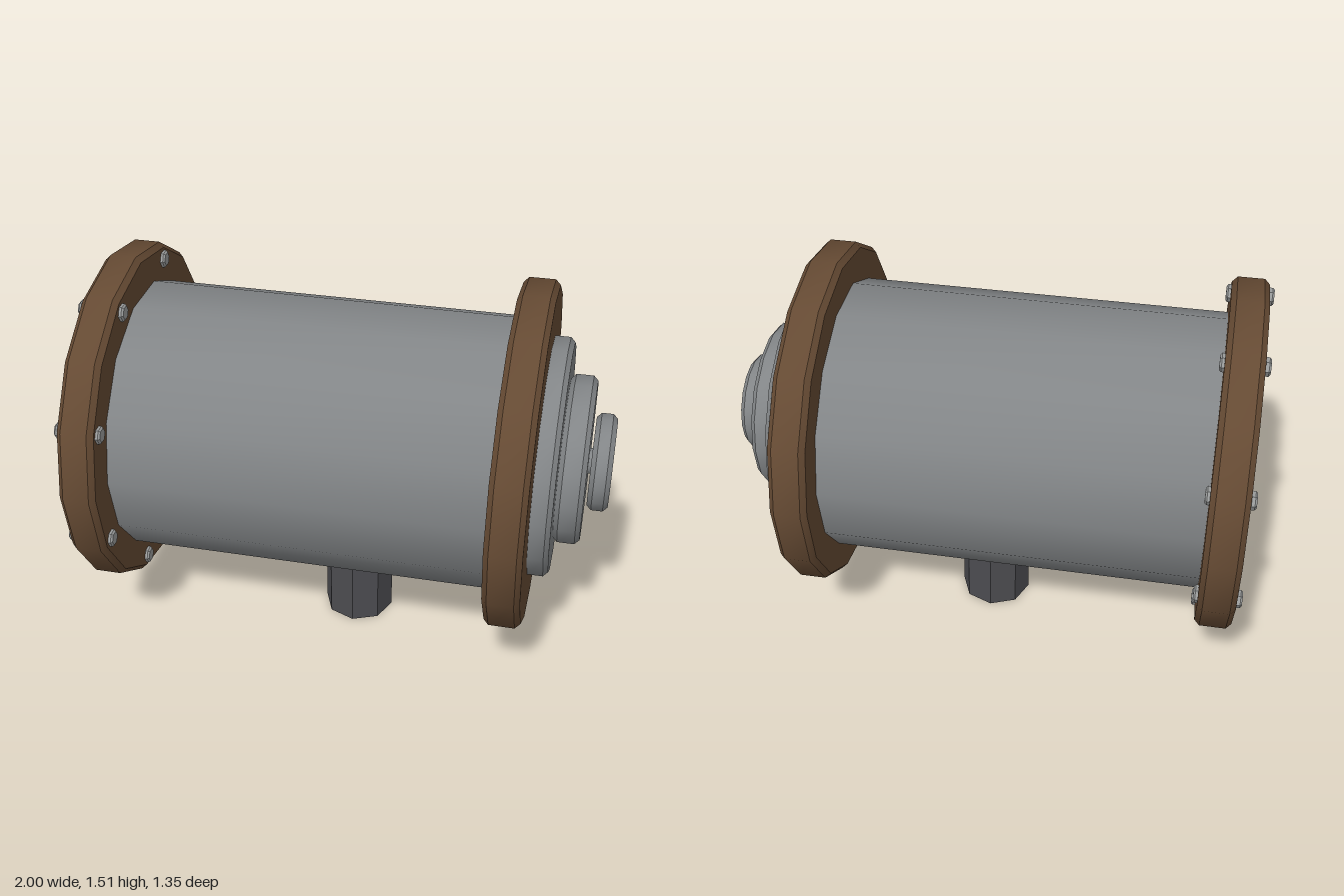
import * as THREE from 'three';
import { toCreasedNormals } from 'three/addons/utils/BufferGeometryUtils.js';

const AXIS_Y = 0.84;

const mat = (name, color) => {
  const m = new THREE.MeshStandardMaterial({ color });
  m.name = name;
  return m;
};

// Chamfered disc along x from x0 to x1; the crease angle keeps chamfers sharp
function disc(name, material, x0, x1, radius, sides, chamfer = 0, crease = 0.6) {
  const half = (x1 - x0) / 2;
  const profile = [[0, -half]];
  if (chamfer > 0) {
    profile.push([radius - chamfer, -half], [radius, -half + chamfer],
      [radius, half - chamfer], [radius - chamfer, half]);
  } else {
    profile.push([radius, -half], [radius, half]);
  }
  profile.push([0, half]);
  const lathe = new THREE.LatheGeometry(profile.map(([r, y]) => new THREE.Vector2(r, y)), sides);
  const geometry = toCreasedNormals(lathe, crease);
  geometry.rotateZ(-Math.PI / 2);
  const mesh = new THREE.Mesh(geometry, material);
  mesh.name = name;
  mesh.position.set((x0 + x1) / 2, AXIS_Y, 0);
  return mesh;
}

export function createModel() {
  const steel = mat('steel grey', 0x828587);
  const brown = mat('brown', 0x654a33);
  const boltGrey = mat('bolt grey', 0x9a9c9c);
  const dark = mat('dark grey', 0x4c4c50);

  const model = new THREE.Group();
  model.name = 'flangedCylinder';

  // Main drum and its two end flanges
  model.add(disc('drum', steel, -0.97, 0.72, 0.535, 14));
  model.add(disc('rightFlange', brown, -0.98, -0.84, 0.675, 16, 0.02));
  model.add(disc('leftFlange', brown, 0.59, 0.73, 0.675, 16, 0.02));

  // Stepped end cap
  model.add(disc('capBase', steel, 0.71, 0.808, 0.465, 16, 0.018));
  model.add(disc('capStep', steel, 0.808, 0.91, 0.328, 16, 0.018));
  model.add(disc('capSpindle', steel, 0.9, 0.93, 0.05, 16));
  model.add(disc('capKnob', steel, 0.92, 1.0, 0.19, 16, 0.018));

  // Ring of hexagonal bolts through the right flange
  const bolts = new THREE.Group();
  bolts.name = 'bolts';
  for (let i = 0; i < 8; i++) {
    const angle = ((i + 0.5) / 8) * Math.PI * 2;
    const bolt = disc('bolt', boltGrey, -1.0, -0.823, 0.034, 6, 0.007, 0.3);
    bolt.position.y += Math.cos(angle) * 0.61;
    bolt.position.z = Math.sin(angle) * 0.61;
    bolts.add(bolt);
  }
  model.add(bolts);

  // Octagonal outlet pipe under the drum
  const outlet = new THREE.Mesh(
    toCreasedNormals(new THREE.CylinderGeometry(0.14, 0.14, 0.42, 8), 0.3), dark);
  outlet.name = 'outletPipe';
  outlet.position.set(0.01, 0.21, 0);
  model.add(outlet);

  return model;
}
